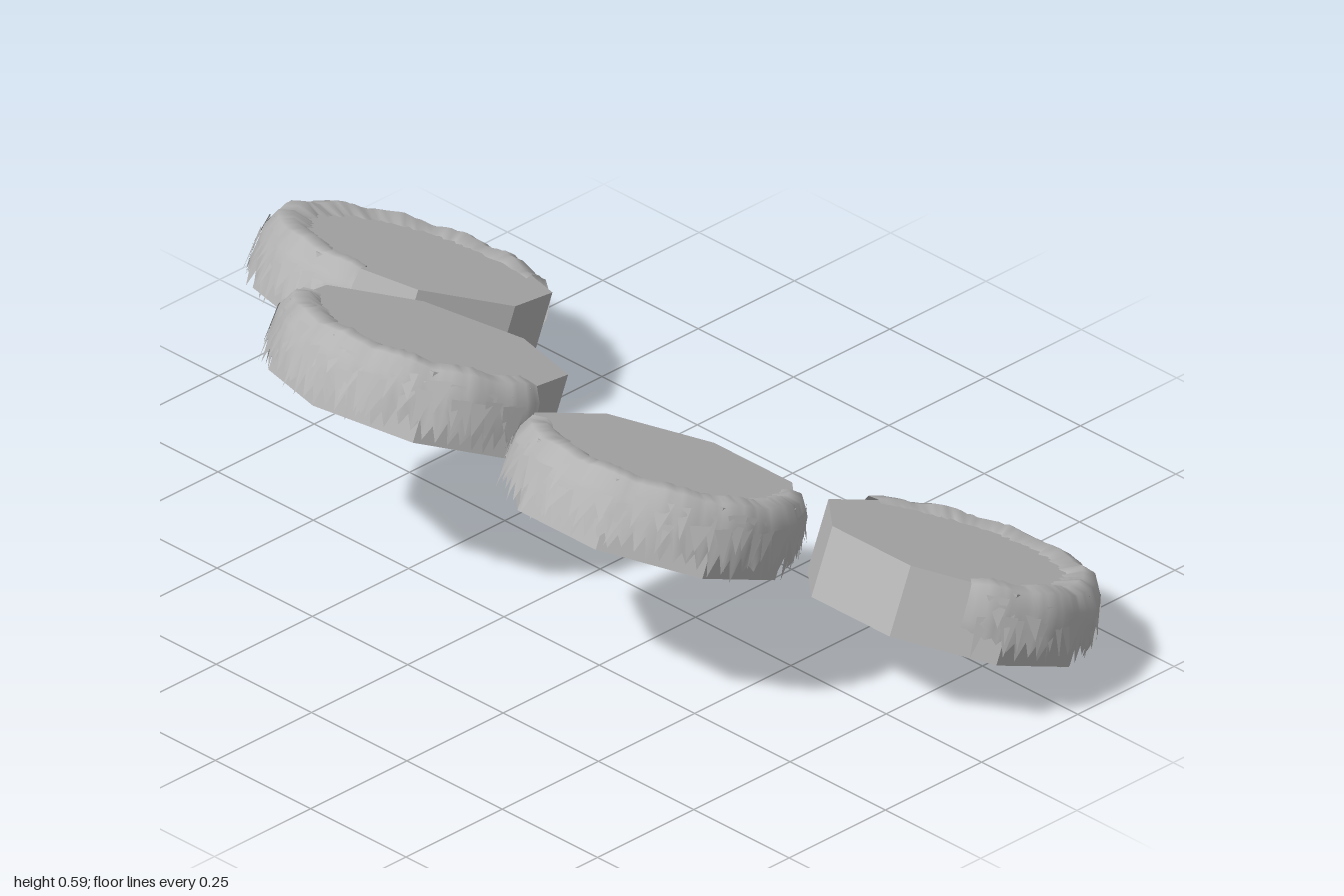
import * as THREE from 'three';

const R = 0.268, H = 0.14, TILT = -23 * Math.PI / 180;
const rad = d => d * Math.PI / 180;

function seeded(s) {
  return () => (s = (s * 16807) % 2147483647) / 2147483647;
}

// centre, turn of the octagonal core, and the arc covered by the shaggy rim (degrees, x towards z)
const PADS = [
  { name: 'frontPad', at: [0.212, 0.178, 0.7], turn: 22.5, arc: [-85, 132] },
  { name: 'frontRightPad', at: [-0.2, 0.385, 0.345], turn: 22.5, arc: [40, 240] },
  { name: 'backRightPad', at: [-0.225, 0.415, -0.25], turn: 0, arc: [85, 250] },
  { name: 'backPad', at: [0.185, 0.235, -0.705], turn: 0, arc: [160, 392] },
];

// Rounded rim with ragged inner and lower edges, swept around part of the pad
function rimGeometry([from, to], rnd) {
  const steps = Math.round((to - from) / 2.5), pos = [], index = [];
  const rows = 6;
  for (let i = 0; i <= steps; i++) {
    const t = i / steps;
    const full = Math.min(1, Math.min(t, 1 - t) * 7);   // fades out at both ends
    const lump = 0.012 * Math.sin(i * 0.55) * rnd();
    const drop = -0.01 - full * (i % 2 ? 0.03 + 0.026 * rnd() : 0.022 * rnd());
    const section = [
      [0.225 - full * (0.015 + 0.02 * rnd()), 0.071],
      [0.235, 0.076 + full * 0.008 + lump * 0.5],
      [0.262, 0.073 + full * 0.004 + lump * 0.4],
      [0.279 + lump * 0.3, 0.045],
      [0.283 + lump * 0.3, 0.005],
      [0.28 + 0.008 * rnd(), drop],
    ];
    const a = rad(from + (to - from) * t);
    for (const [r, y] of section) pos.push(r * Math.cos(a), y, r * Math.sin(a));
    if (i < steps) for (let j = 0; j < rows - 1; j++) {
      const p = i * rows + j, q = p + rows;
      index.push(p, q, p + 1, q, q + 1, p + 1);
    }
  }
  const g = new THREE.BufferGeometry();
  g.setAttribute('position', new THREE.Float32BufferAttribute(pos, 3));
  g.setIndex(index);
  g.computeVertexNormals();
  return g;
}

// Loose pointed tufts hanging over the outside of the rim
function tuftGeometry([from, to], rnd) {
  const pos = [];
  const put = (r, y, deg) => pos.push(r * Math.cos(rad(deg)), y, r * Math.sin(rad(deg)));
  const count = Math.round((to - from) / 4);
  for (let i = 0; i < count; i++) {
    const a = from + 6 + (to - from - 12) * (i + rnd()) / count;
    const w = 2 + 3 * rnd(), y = 0.02 + 0.045 * rnd(), len = 0.05 + 0.04 * rnd();
    const r = y > 0.045 ? 0.275 : 0.284;
    put(r, y, a - w);
    put(r, y - 0.01 * rnd(), a + w);
    put(0.288 + 0.008 * rnd(), Math.max(y - len, -0.064), a + 6 * (rnd() - 0.5));
  }
  const g = new THREE.BufferGeometry();
  g.setAttribute('position', new THREE.Float32BufferAttribute(pos, 3));
  g.computeVertexNormals();
  return g;
}

export function createModel() {
  const grey = new THREE.MeshStandardMaterial({ color: 0xb4b4b4, side: THREE.DoubleSide });
  grey.name = 'plain grey';
  const model = new THREE.Group();
  model.name = 'steppingPads';

  PADS.forEach(({ name, at, turn, arc }, i) => {
    const rnd = seeded(1234 + i * 777);
    const pad = new THREE.Group();
    pad.name = name;
    pad.position.set(...at);
    pad.rotation.z = TILT;
    const add = (part, geometry) => {
      const mesh = new THREE.Mesh(geometry, grey);
      mesh.name = part;
      pad.add(mesh);
    };
    // flat-sided core
    const core = new THREE.CylinderGeometry(R, R, H, 8).toNonIndexed();
    core.rotateY(rad(turn));
    core.computeVertexNormals();
    add('core', core);
    add('shaggyRim', rimGeometry(arc, rnd));
    add('tufts', tuftGeometry(arc, rnd));
    model.add(pad);
  });
  return model;
}
